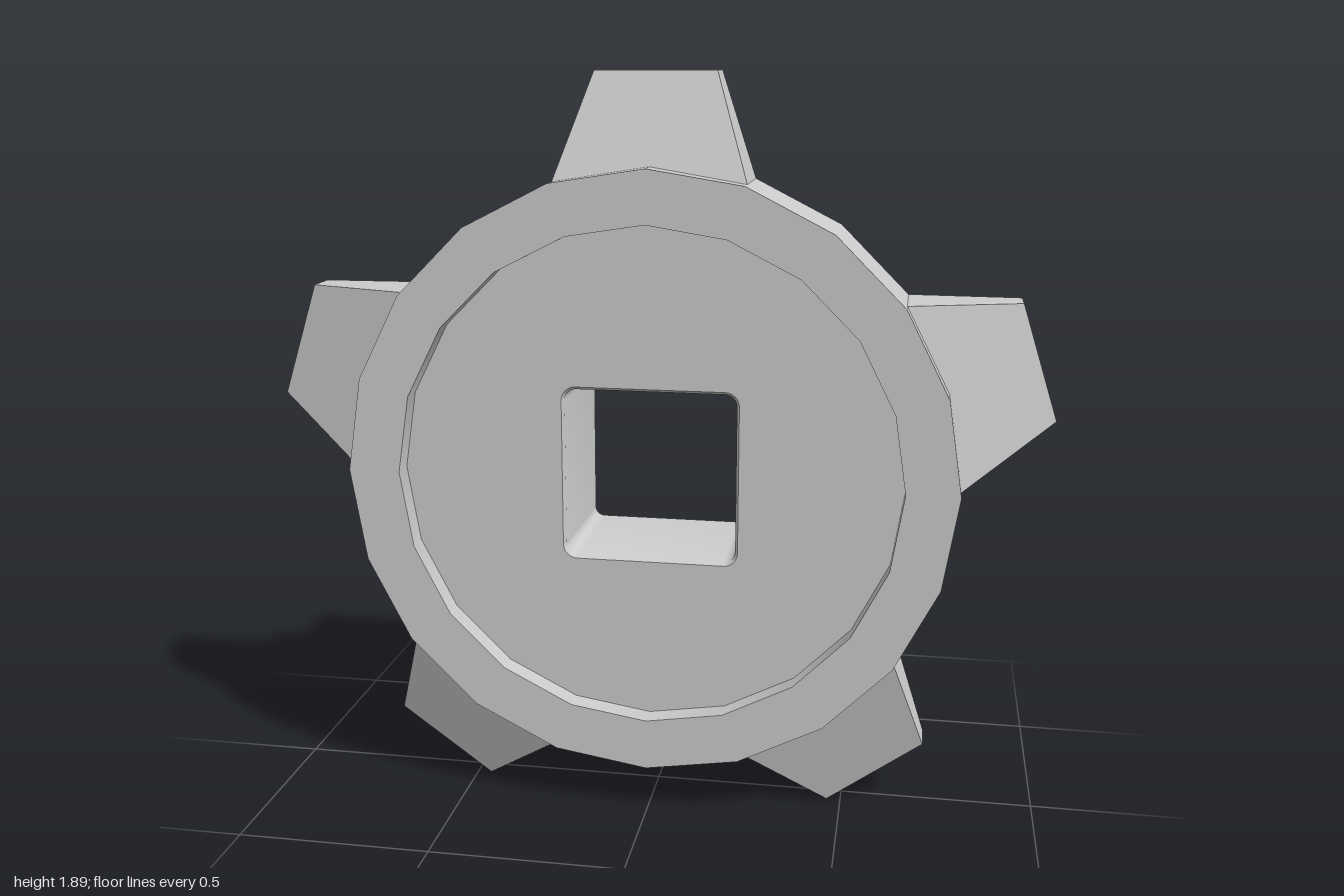
import * as THREE from 'three';
import { toCreasedNormals } from 'three/addons/utils/BufferGeometryUtils.js';

const SIDES = 20, STEP = Math.PI * 2 / SIDES;
const R = 0.773, INNER = 0.64;              // rim and recess radii
const FRONT = 0.2, FACE = 0.14, BACK = -0.04, TUBE_END = -0.2;

const material = new THREE.MeshStandardMaterial({ color: 0xcccccc, side: THREE.DoubleSide });

function add(parent, name, geometry) {
  const mesh = new THREE.Mesh(geometry, material);
  mesh.name = name;
  parent.add(mesh);
  return mesh;
}

// Open faceted wall around the z axis, angles measured from the top
function wall(radius, z0, z1, first = 0, count = SIDES) {
  return new THREE.CylinderGeometry(radius, radius, z1 - z0, count, 1, true, first * STEP, count * STEP)
    .rotateX(-Math.PI / 2).translate(0, 0, (z0 + z1) / 2);
}

// Square outline with rounded corners
function roundedSquare(half, r) {
  const c = half - r, s = new THREE.Path();
  [[c, c], [-c, c], [-c, -c], [c, -c]].forEach(([x, y], i) =>
    s.absarc(x, y, r, i * Math.PI / 2, (i + 1) * Math.PI / 2, false));
  s.closePath();
  return s;
}

// Skin joining closed outlines placed at successive depths
function loft(sections) {
  const positions = [], index = [];
  let n = 0;
  for (const [half, r, z] of sections) {
    const pts = roundedSquare(half, r).getPoints(4);
    n = pts.length;
    pts.forEach(p => positions.push(p.x, p.y, z));
  }
  for (let s = 0; s < sections.length - 1; s++)
    for (let i = 0; i < n; i++) {
      const a = s * n + i, b = s * n + (i + 1) % n;
      index.push(a, a + n, b, b, a + n, b + n);
    }
  const g = new THREE.BufferGeometry();
  g.setAttribute('position', new THREE.Float32BufferAttribute(positions, 3));
  g.setIndex(index);
  return toCreasedNormals(g, 0.9);
}

// Hollow tooth, open at the back and towards the hub
function toothGeometry() {
  const bx = R * Math.sin(STEP), by = R * Math.cos(STEP), tx = 0.152, ty = 0.998;
  const bz = 0.15, tz = 0.05;
  const quads = [
    [[-bx, by, bz], [bx, by, bz], [tx, ty, tz], [-tx, ty, tz]],           // sloping front
    [[-tx, ty, tz], [tx, ty, tz], [tx, ty, BACK], [-tx, ty, BACK]],       // tip
    [[bx, by, bz], [bx, by, BACK], [tx, ty, BACK], [tx, ty, tz]],         // flanks
    [[-bx, by, BACK], [-bx, by, bz], [-tx, ty, tz], [-tx, ty, BACK]],
  ];
  const positions = quads.flatMap(([a, b, c, d]) => [a, b, c, a, c, d]).flat();
  const g = new THREE.BufferGeometry();
  g.setAttribute('position', new THREE.Float32BufferAttribute(positions, 3));
  g.computeVertexNormals();
  return g;
}

export function createModel() {
  const wheel = new THREE.Group();
  wheel.name = 'toothedWheel';
  wheel.position.y = 0.9;

  // Rim: front band, recess step and outer edge
  add(wheel, 'rimFront', new THREE.RingGeometry(INNER, R, SIDES, 1, Math.PI / 2).translate(0, 0, FRONT));
  add(wheel, 'recessWall', wall(INNER, FACE, FRONT));
  add(wheel, 'rimEdge', wall(R, 0.134, FRONT));

  // Recessed face with the square opening
  const disc = new THREE.Shape();
  for (let i = 0; i < SIDES; i++) {
    const a = i * STEP, x = INNER * Math.cos(a), y = INNER * Math.sin(a);
    i ? disc.lineTo(x, y) : disc.moveTo(x, y);
  }
  disc.closePath();
  disc.holes.push(roundedSquare(0.226, 0.036));
  add(wheel, 'face', new THREE.ShapeGeometry(disc, 4).translate(0, 0, FACE));

  // Thin square tube running backwards from the opening
  add(wheel, 'squareTube', loft([
    [0.226, 0.036, FACE], [0.219, 0.03, FACE - 0.008], [0.213, 0.024, TUBE_END],
  ]));

  // Teeth, with rim panels filling the gaps between them
  const tooth = toothGeometry();
  for (let i = 0; i < 5; i++) {
    add(wheel, 'tooth', tooth).rotation.z = -i * 4 * STEP;
    add(wheel, 'rimPanel', wall(R, BACK, 0.15, i * 4 + 1, 2));
  }

  const model = new THREE.Group();
  model.name = 'model';
  model.add(wheel);
  return model;
}
